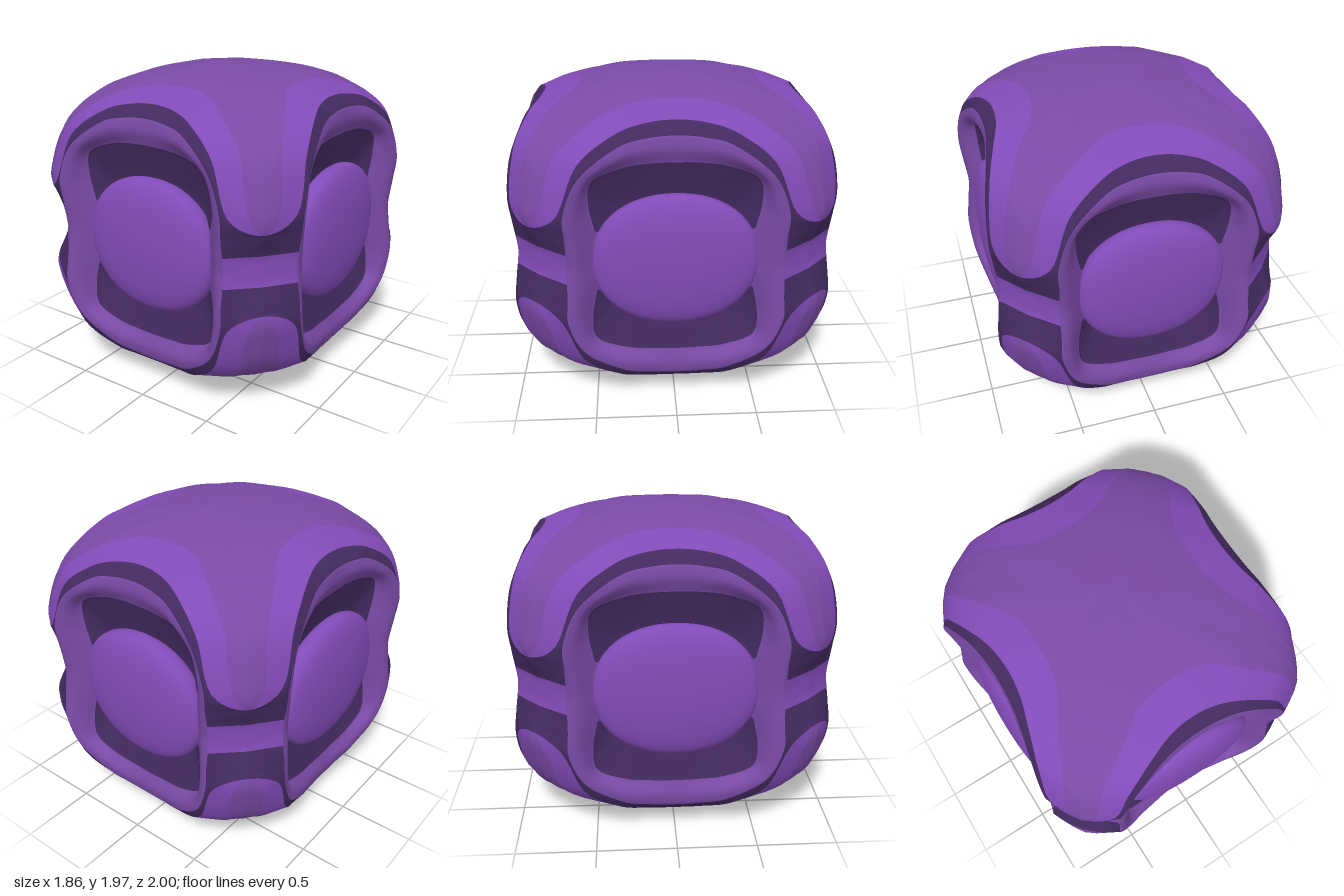
import * as THREE from 'three';
import { mergeVertices } from 'three/addons/utils/BufferGeometryUtils.js';

const V = (u, h, w) => new THREE.Vector3(u, h, w);
const CY = 0.985, XS = 0.93, SEG = 6, COLS = 28 * SEG;

// Quarter outlines of each loop, from the equator (right) to the top: [u, height, depth]
const edge = [[.815, 0, .815], [.82, .095, .82], [.868, .245, .868], [.868, .37, .868], [.80, .62, .80], [.655, .80, .655], [.37, .935, .37], [0, .985, 0]];
const crownRim = [[.80, 0, .80], [.925, .38, .785], [.868, .245, .868], [.785, .38, .925], [.69, .66, .86], [.47, .83, .74], [.24, .905, .60], [0, .925, .57]];
const shellRim = [[.80, 0, .80], [.98, .34, .69], [.868, .245, .868], [.69, .34, .98], [.56, .635, .95], [.35, .79, .875], [.18, .84, .82], [0, .855, .80]];
const ringOuter = [[.645, 0, .96], [.645, .095, .97], [.645, .2, .985], [.645, .36, 1], [.55, .57, .98], [.33, .73, .92], [.17, .772, .89], [0, .785, .88]];
const ringMid = [[.575, 0, .95], [.575, .095, .955], [.575, .2, .96], [.575, .36, .97], [.51, .54, .955], [.32, .665, .925], [.16, .697, .90], [0, .705, .89]];
const ringInner = [[.46, 0, .85], [.46, .095, .85], [.475, .2, .855], [.505, .37, .87], [.48, .52, .88], [.30, .595, .87], [.15, .615, .86], [0, .62, .86]];

// Mirror a quarter into a closed smooth loop
function loop(quarter) {
  const pts = [];
  for (let i = 0; i < 28; i++) {
    const k = i % 14, [u, h, w] = quarter[k <= 7 ? k : 14 - k];
    pts.push(V(i > 7 && i < 21 ? -u : u, i > 14 ? -h : h, w));
  }
  return new THREE.CatmullRomCurve3(pts, true, 'catmullrom', 0.5);
}

// Loop half way over the crown, slightly swollen towards the top
const crownMid = edge.map((p, i) => p.map((c, j) => (c + crownRim[i][j]) / 2 * (i > 5 ? 1.01 : 1)));
const recess = ringInner.map(([u, h]) => [u * 0.78, h * 0.66, 0.80]);
const recessBack = ringInner.map(([u, h]) => [u * 0.4, h * 0.4, 0.79]);

// Row of points across one side, from its border inwards
function sideColumn(j, loops) {
  const k = j % (14 * SEG), fromEquator = Math.min(k, 14 * SEG - k);
  const [e, km, cr, sr, ro, rm, ri, re, rb] = loops.map(l => l.getPoint(j / COLS));
  e.z = Math.abs(e.x);
  const shell = fromEquator <= 2 * SEG ? [e, e, e, e] : [e, km, cr, sr];
  const row = [];
  const add = (pts, n, last = 0) => {
    const c = new THREE.CatmullRomCurve3(pts, false, 'catmullrom', 0.5);
    for (let i = 0; i < n + last; i++) row.push(c.getPoint(i / n));
  };
  add(shell, 12);
  add([shell[3], ro], 4);
  add([ro, rm, ri], 8);
  add([ri, re], 3);
  add([re, rb], 2, 1);
  return row;
}

function buildBody() {
  const loops = [edge, crownMid, crownRim, shellRim, ringOuter, ringMid, ringInner, recess, recessBack].map(loop);
  const cols = [];
  for (let j = 0; j < COLS; j++) cols.push(sideColumn(j, loops));
  const rows = cols[0].length, pos = [], faces = [[], [], [], []];
  const up = V(0, 1, 0);
  for (let s = 0; s < 4; s++) {
    const base = pos.length / 3;
    for (const col of cols) for (const p of col) {
      const q = p.clone().applyAxisAngle(up, s * Math.PI / 2);
      pos.push(q.x * XS, q.y + CY, q.z);
    }
    for (let j = 0; j < COLS; j++) {
      const k = j % (14 * SEG), near = Math.min(k, 14 * SEG - 1 - k);
      const n = (j + 1) % COLS;
      for (let r = 0; r < rows - 1; r++) {
        // 0 crown, 1 bright flank and strut, 2 dark band and recess, 3 ring
        let m = r < 8 ? 0 : r < 12 ? 1 : r < 16 ? 2 : r < 24 ? 3 : 2;
        if (near < 2 * SEG) {
          if (r < 16) m = near < SEG ? 1 : 2;
          else m = 3;
        }
        const a = base + j * rows + r, b = base + n * rows + r;
        faces[m].push([a, b, b + 1], [a, b + 1, a + 1]);
      }
    }
  }
  const P = i => V(pos[3 * i], pos[3 * i + 1], pos[3 * i + 2]);
  const index = [], groups = [];
  faces.forEach((list, m) => {
    const start = index.length;
    for (const t of list) {
      const [a, b, c] = t.map(P);
      if (b.sub(a).cross(c.sub(a)).length() > 1e-9) index.push(...t);
    }
    groups.push([start, index.length - start, m]);
  });
  let g = new THREE.BufferGeometry();
  g.setAttribute('position', new THREE.Float32BufferAttribute(pos, 3));
  g.setIndex(index);
  g = mergeVertices(g, 1e-4);
  g.clearGroups();
  groups.forEach(x => g.addGroup(...x));
  g.computeVertexNormals();
  return g;
}

// Flattened dome with a slightly squared outline and full sides
function domeGeometry() {
  const g = new THREE.SphereGeometry(1, 64, 40), p = g.attributes.position, N = 2.15;
  for (let i = 0; i < p.count; i++) {
    const x = p.getX(i), y = p.getY(i), z = p.getZ(i), r = Math.hypot(x, y);
    const f = r > 1e-6 ? (Math.abs(x / r) ** N + Math.abs(y / r) ** N) ** (-1 / N) : 1;
    p.setXYZ(i, x * f, y * f, Math.sign(z) * Math.abs(z) ** 0.75);
  }
  g.scale(0.5, 0.42, 0.13).translate(0, 0, 0.845);
  g.computeVertexNormals();
  return g;
}

export function createModel() {
  const material = (name, color) => {
    const m = new THREE.MeshStandardMaterial({ color });
    m.name = name;
    return m;
  };
  const crown = material('crown purple', 0x7a4aa6);
  const bright = material('bright purple', 0x824bb8);
  const dark = material('dark purple', 0x432a60);

  const model = new THREE.Group();
  model.name = 'roundedCube';

  // Shell with corner struts, panel rings and recesses
  const body = new THREE.Mesh(buildBody(), [crown, bright, dark, crown]);
  body.name = 'shell';
  model.add(body);

  // One dome in each of the four recesses
  ['front', 'left', 'back', 'right'].forEach((side, i) => {
    const g = domeGeometry();
    g.rotateY(i * Math.PI / 2).scale(XS, 1, 1).translate(0, CY, 0);
    const dome = new THREE.Mesh(g, bright);
    dome.name = side + 'Dome';
    model.add(dome);
  });
  return model;
}
